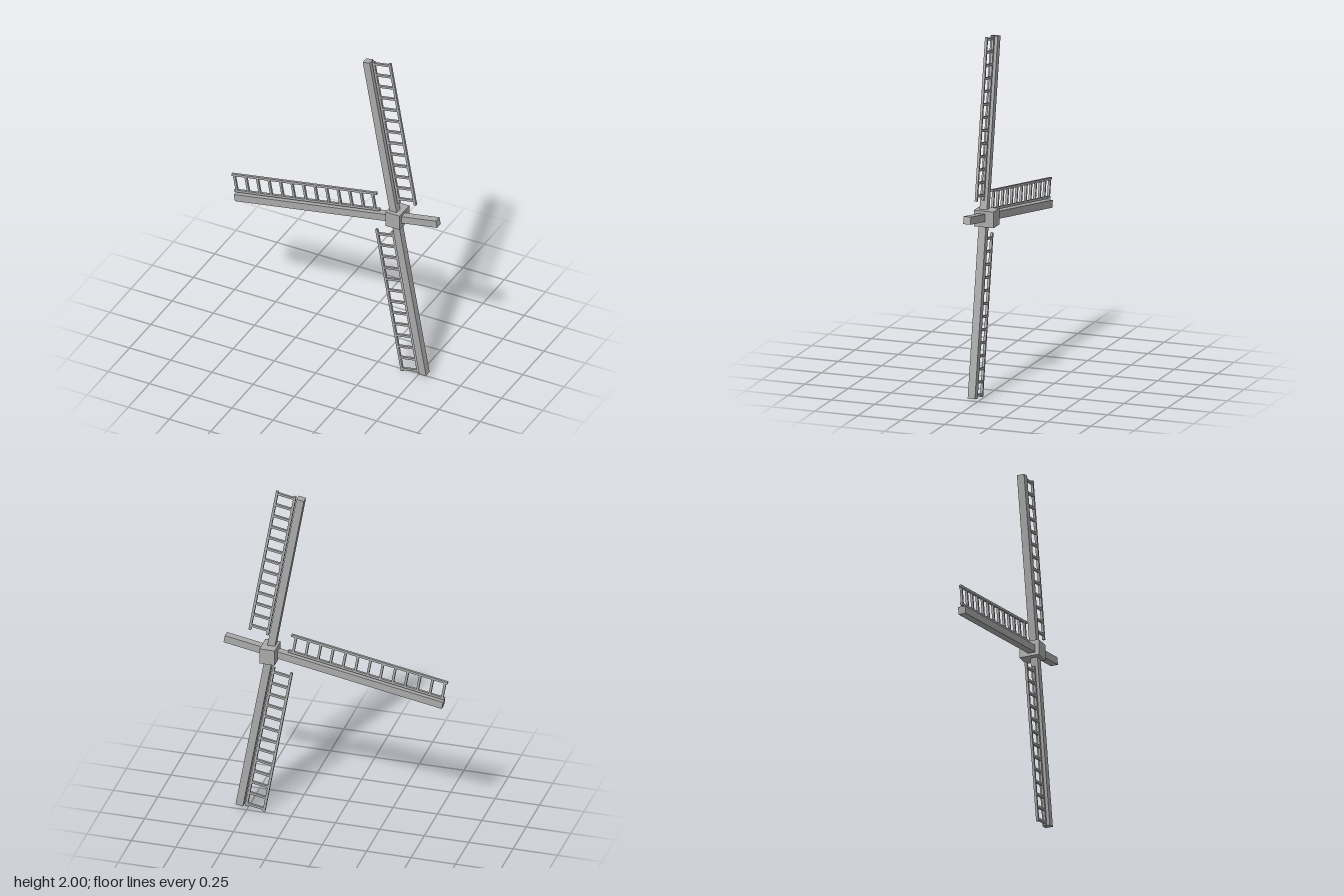
import * as THREE from 'three';

const ARM = 0.042;        // arm thickness
const LATH = 0.0135;      // ladder lath thickness
const TIP = 0.987;        // arm reach from the hub
const RUNGS = 13;

export function createModel() {
  const grey = new THREE.MeshStandardMaterial({ color: 0xaaaaaa });
  grey.name = 'weathered grey';

  const box = (parent, name, w, h, d, x, y, z = 0) => {
    const mesh = new THREE.Mesh(new THREE.BoxGeometry(w, h, d), grey);
    mesh.name = name;
    mesh.position.set(x, y, z);
    parent.add(mesh);
  };

  // One sail pointing up: an arm with a ladder frame on its +x side
  const addSail = (parent, name, angle, length, hasLadder) => {
    const sail = new THREE.Group();
    sail.name = name;
    sail.rotation.z = angle;
    box(sail, 'arm', ARM, length, ARM, 0, length / 2);
    if (hasLadder) {
      const start = 0.094, end = 0.988;
      for (const [label, x] of [['innerRail', 0.035], ['outerRail', 0.136]]) {
        box(sail, label, LATH, end - start, LATH, x, (start + end) / 2);
      }
      for (let i = 0; i < RUNGS; i++) {
        box(sail, 'rung', 0.101, LATH * 0.95, LATH * 0.95, 0.0855, 0.122 + i * 0.071);
      }
    }
    parent.add(sail);
  };

  const model = new THREE.Group();
  model.name = 'windmillSails';

  // Hub block
  box(model, 'hub', 0.086, 0.09, 0.114, 0.368, 1.0);

  // Cross of sails, tilted ten degrees; the fourth is a broken stub
  const cross = new THREE.Group();
  cross.name = 'sailCross';
  cross.position.set(0.368, 1.0, 0.0145);
  cross.rotation.z = THREE.MathUtils.degToRad(10);
  addSail(cross, 'topSail', 0, TIP, true);
  addSail(cross, 'rightSail', Math.PI / 2, TIP, true);
  addSail(cross, 'bottomSail', Math.PI, TIP, true);
  addSail(cross, 'brokenSail', -Math.PI / 2, 0.26, false);
  model.add(cross);

  return model;
}
